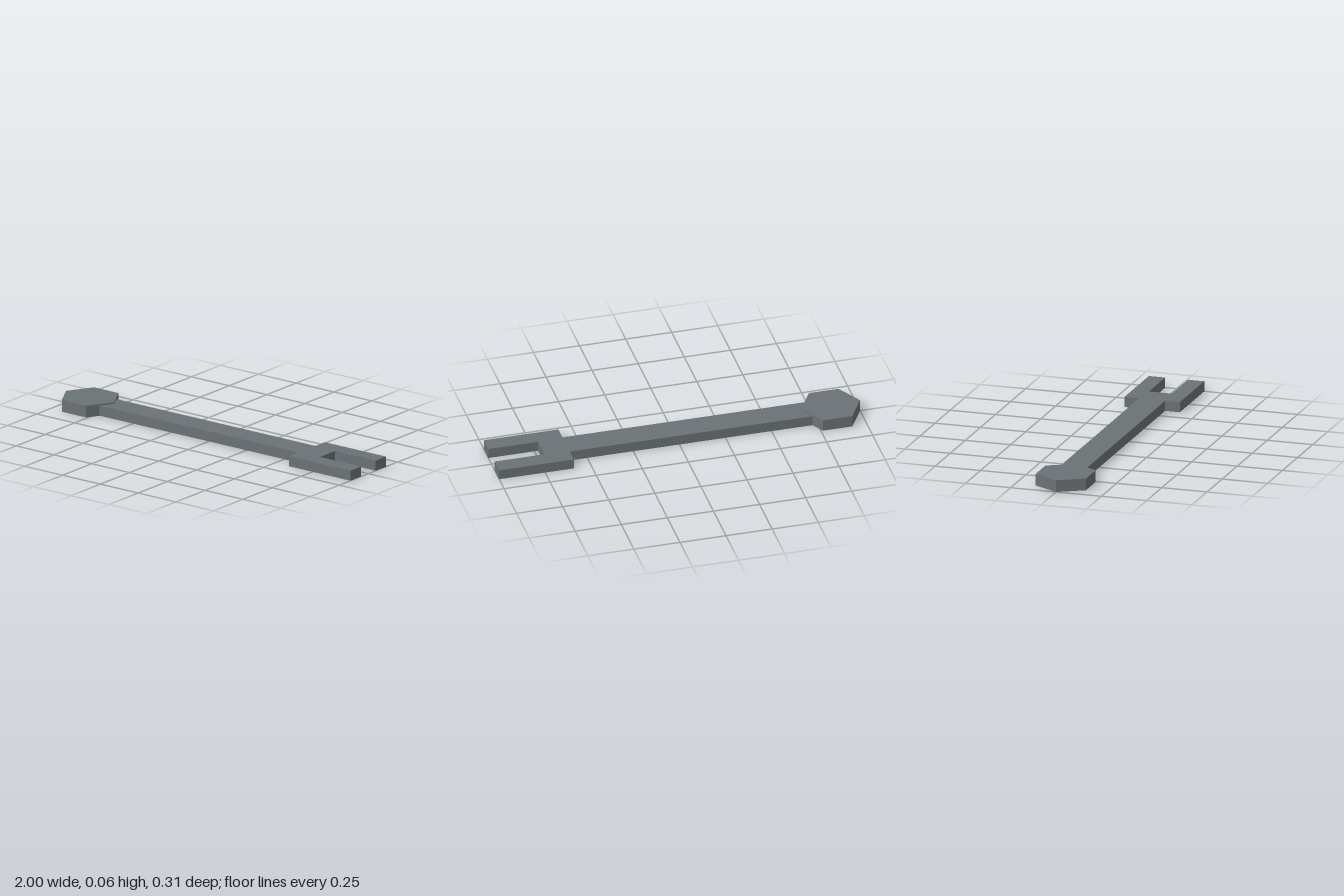
import * as THREE from 'three';

export function createModel() {
  const group = new THREE.Group();
  group.name = 'wrench';

  const steel = new THREE.MeshStandardMaterial({ color: 0x6b7276 });
  steel.name = 'grey steel';

  // Flat outline in x and z, extruded upwards from the ground
  const addPlate = (name, points, height) => {
    const shape = new THREE.Shape(points.map(([x, z]) => new THREE.Vector2(x, z)));
    const geometry = new THREE.ExtrudeGeometry(shape, { depth: height, bevelEnabled: false });
    geometry.rotateX(-Math.PI / 2);
    const mesh = new THREE.Mesh(geometry, steel);
    mesh.name = name;
    group.add(mesh);
  };

  // Handle and open fork share one outline; half of it is mirrored
  const thickness = 0.055;
  const half = [[-0.84, 0.072], [0.595, 0.072], [0.595, 0.153], [1, 0.153], [1, 0.063], [0.73, 0.063]];
  const mirrored = half.map(([x, z]) => [x, -z]).reverse();
  addPlate('handleAndFork', [...half, ...mirrored], thickness);

  // Hexagonal head, slightly thicker than the handle, with a corner pointing along x
  const headHeight = 0.064;
  const radius = 0.16;
  const hexagon = Array.from({ length: 6 }, (_, i) => {
    const angle = (i * Math.PI) / 3;
    return [-0.84 + radius * Math.cos(angle), radius * Math.sin(angle)];
  });
  addPlate('hexHead', hexagon, headHeight);

  return group;
}
